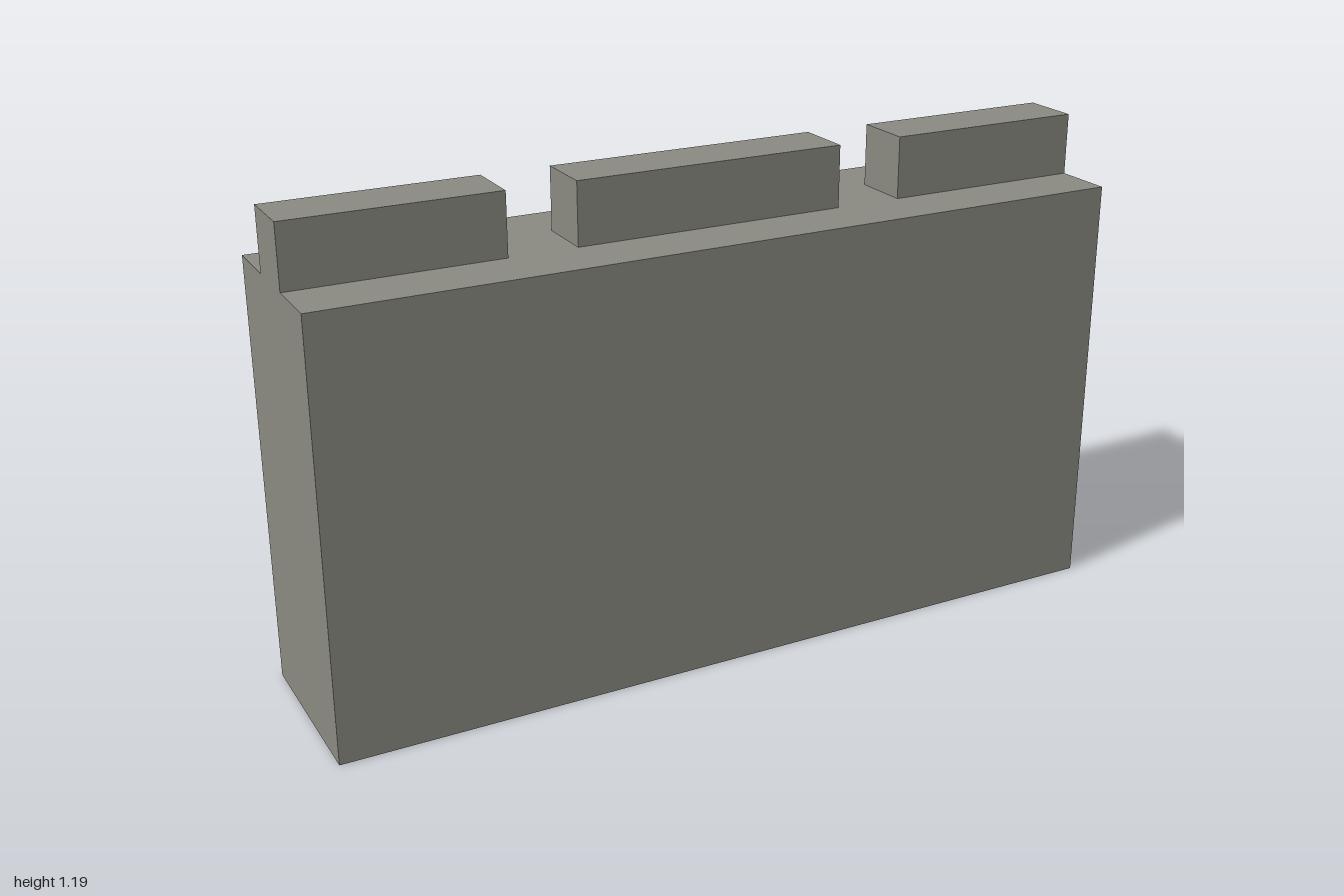
import * as THREE from 'three';

export function createModel() {
  const model = new THREE.Group();
  model.name = 'wallBlock';
  const stone = new THREE.MeshStandardMaterial({ color: 0x8b8b82, side: THREE.DoubleSide });
  stone.name = 'grey stone';

  const X = 1, Z = 0.218, T = 0.072;   // half length, half depth, half tab depth
  const DECK = 1.04, TOP = 1.19;       // ledge height, tab height
  const tabs = [[-X, -0.5], [-0.335, 0.335], [0.5, X]];
  const gaps = [[-0.5, -0.335], [0.335, 0.5]];

  // Single flat panels, each facing the given side of its axis
  function add(name, w, h, pos, rx, ry) {
    const mesh = new THREE.Mesh(new THREE.PlaneGeometry(w, h), stone);
    mesh.name = name;
    mesh.position.set(...pos);
    mesh.rotation.set(rx, ry, 0);
    model.add(mesh);
  }
  const panelZ = (name, x0, x1, y0, y1, z, side) =>
    add(name, x1 - x0, y1 - y0, [(x0 + x1) / 2, (y0 + y1) / 2, z], 0, side > 0 ? 0 : Math.PI);
  const panelX = (name, z0, z1, y0, y1, x, side) =>
    add(name, z1 - z0, y1 - y0, [x, (y0 + y1) / 2, (z0 + z1) / 2], 0, side * Math.PI / 2);
  const panelY = (name, x0, x1, z0, z1, y) =>
    add(name, x1 - x0, z1 - z0, [(x0 + x1) / 2, y, (z0 + z1) / 2], -Math.PI / 2, 0);

  // Outer shell, open underneath
  panelZ('frontWall', -X, X, 0, DECK, Z, 1);
  panelZ('backWall', -X, X, 0, DECK, -Z, -1);
  for (const s of [-1, 1]) {
    panelX('endWall', -Z, Z, 0, DECK, s * X, s);
    panelX('endTabWall', -T, T, DECK, TOP, s * X, s);
  }

  // Ledges around the tabs
  panelY('frontLedge', -X, X, T, Z, DECK);
  panelY('backLedge', -X, X, -Z, -T, DECK);
  for (const [a, b] of gaps) panelY('gapFloor', a, b, -T, T, DECK);

  // Raised tabs, whose long sides run down inside the shell
  for (const [a, b] of tabs) {
    panelY('tabTop', a, b, -T, T, TOP);
    panelZ('tabFront', a, b, 0, TOP, T, 1);
    panelZ('tabBack', a, b, 0, TOP, -T, -1);
  }

  // Tab ends above the ledge and cross walls below it
  for (const [a, b] of gaps) {
    panelZ('innerWall', a, b, 0, DECK, T, 1);
    for (const [x, side] of [[a, 1], [b, -1]]) {
      panelX('tabEnd', -T, T, DECK, TOP, x, side);
      panelX('crossWall', -Z, T, 0, DECK, x, side);
    }
  }
  return model;
}
